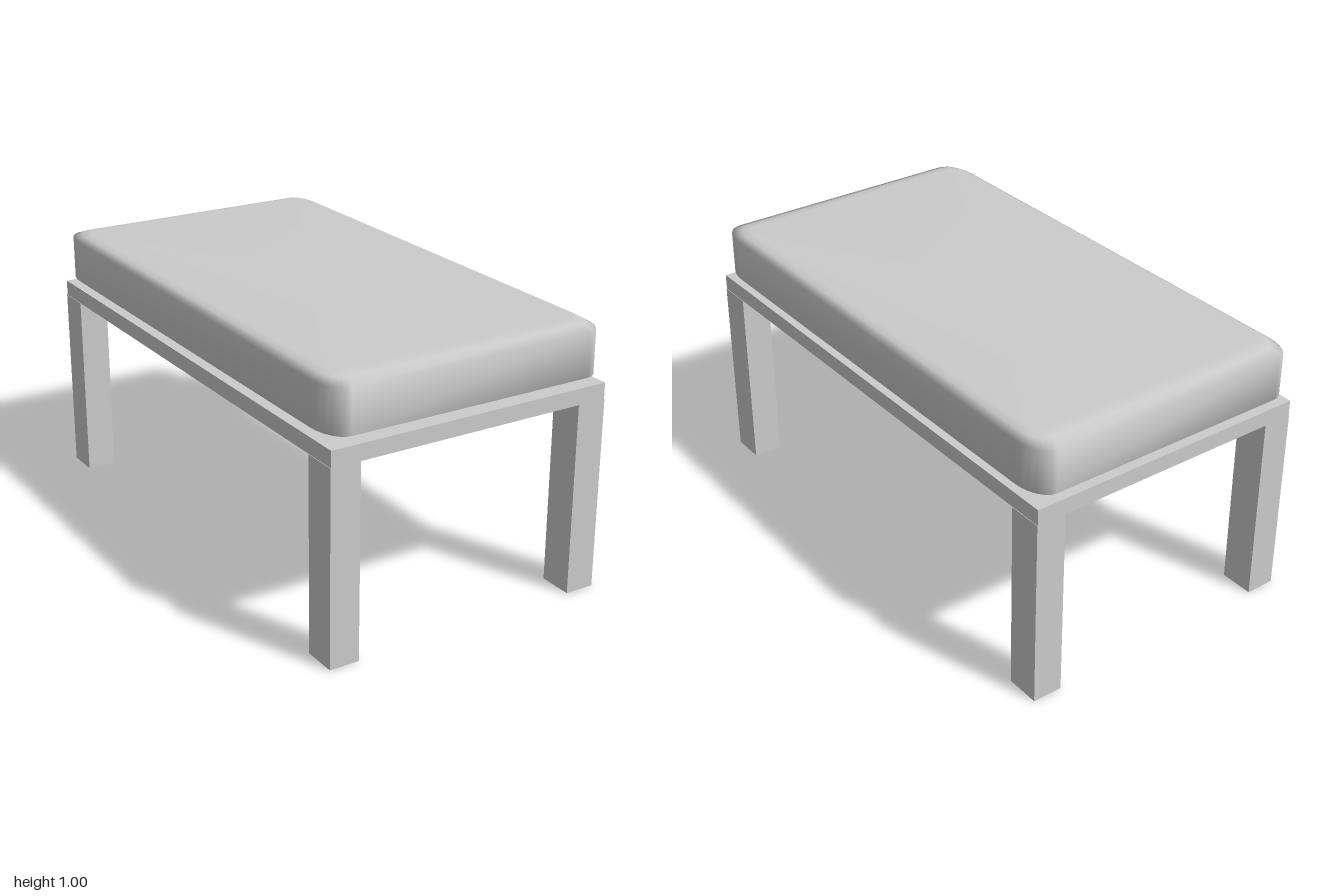
import * as THREE from 'three';

const material = new THREE.MeshStandardMaterial({ color: 0xcccccc });

function box(name, w, h, d, x, y, z) {
  const mesh = new THREE.Mesh(new THREE.BoxGeometry(w, h, d), material);
  mesh.name = name;
  mesh.position.set(x, y, z);
  return mesh;
}

// Rounded-rectangle rings stacked upwards, closed by a fan at each end
function cushionGeometry() {
  const HX = 0.549, HZ = 0.998, STEPS = 6;
  // y, inset as a fraction of the full bevel
  const rings = [[0.79, 1], [0.798, 0.5], [0.812, 0], [0.974, 0], [0.991, 0.5], [1, 1]];
  const positions = [], index = [];
  for (const [y, inset] of rings) {
    const hx = HX - 0.055 * inset, hz = HZ - 0.095 * inset;
    const rx = 0.075 - 0.035 * inset, rz = 0.125 - 0.06 * inset;
    for (let corner = 0; corner < 4; corner++) {
      const sx = corner === 0 || corner === 3 ? 1 : -1;
      const sz = corner < 2 ? 1 : -1;
      for (let i = 0; i <= STEPS; i++) {
        const a = (corner + i / STEPS) * Math.PI / 2;
        positions.push(sx * (hx - rx) + rx * Math.cos(a), y, sz * (hz - rz) + rz * Math.sin(a));
      }
    }
  }
  const n = 4 * (STEPS + 1), last = (rings.length - 1) * n;
  const bottom = positions.length / 3, top = bottom + 1;
  positions.push(0, 0.79, 0, 0, 1, 0);
  for (let i = 0; i < n; i++) {
    const j = (i + 1) % n;
    for (let r = 0; r < last; r += n) {
      index.push(r + i, r + n + i, r + j, r + j, r + n + i, r + n + j);
    }
    index.push(bottom, i, j, top, last + j, last + i);
  }
  const geometry = new THREE.BufferGeometry();
  geometry.setAttribute('position', new THREE.Float32BufferAttribute(positions, 3));
  geometry.setIndex(index);
  geometry.computeVertexNormals();
  return geometry;
}

export function createModel() {
  const group = new THREE.Group();
  group.name = 'bench';

  // Padded seat floating just above the frame
  const cushion = new THREE.Mesh(cushionGeometry(), material);
  cushion.name = 'cushion';
  group.add(cushion);

  // Thin slab carrying the cushion
  group.add(box('seatBoard', 1.102, 0.06, 2, 0, 0.75, 0));

  // Four square legs flush with the corners
  for (const sx of [1, -1]) {
    for (const sz of [1, -1]) {
      const name = (sz > 0 ? 'front' : 'back') + (sx > 0 ? 'Left' : 'Right') + 'Leg';
      group.add(box(name, 0.113, 0.72, 0.13, sx * 0.4965, 0.36, sz * 0.935));
    }
  }
  return group;
}
